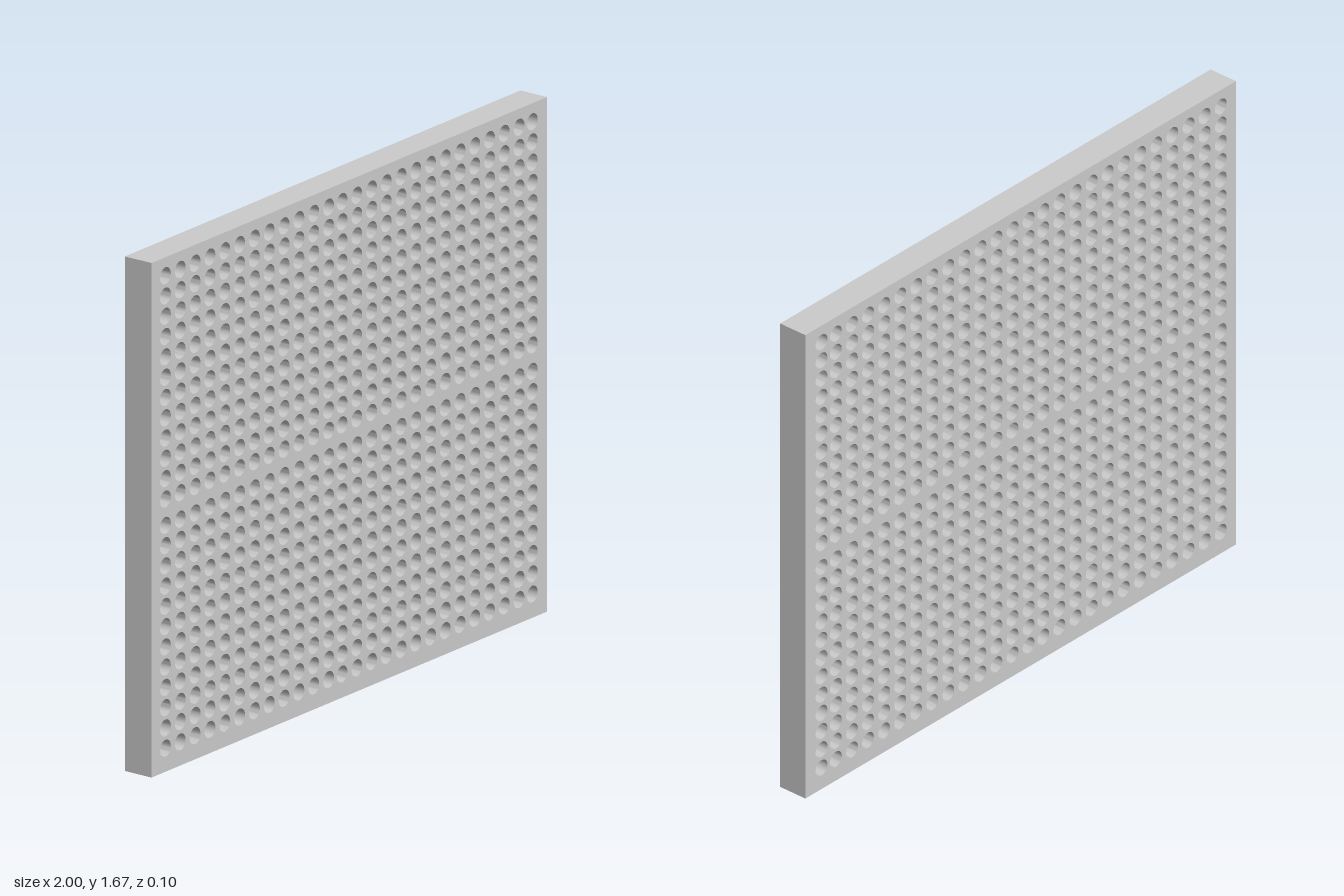
import * as THREE from 'three';
import { toCreasedNormals } from 'three/addons/utils/BufferGeometryUtils.js';

const WIDTH = 2, HEIGHT = 1.675, DEPTH = 0.104, HOLE_RADIUS = 0.0275;

// Evenly spaced values from start to end
function spaced(start, end, count) {
  return Array.from({ length: count }, (_, i) => start + (end - start) * i / (count - 1));
}

export function createModel() {
  const group = new THREE.Group();
  group.name = 'perforatedPanel';

  // Rectangular outline
  const outline = new THREE.Shape();
  outline.moveTo(-WIDTH / 2, 0);
  outline.lineTo(WIDTH / 2, 0);
  outline.lineTo(WIDTH / 2, HEIGHT);
  outline.lineTo(-WIDTH / 2, HEIGHT);
  outline.closePath();

  // Hole grid: two banks of twelve rows with a wider strip between them
  const columns = [...spaced(-0.93, -0.105, 12), ...spaced(-0.037, 0.858, 13), 0.925];
  const rows = [...spaced(0.077, 0.802, 12), ...spaced(0.888, 1.615, 12)];
  for (const y of rows) {
    for (const x of columns) {
      const hole = new THREE.Path();
      hole.absarc(x, y, HOLE_RADIUS, 0, Math.PI * 2, true);
      outline.holes.push(hole);
    }
  }

  // Panel pierced right through, with smooth hole walls and sharp rims
  let geometry = new THREE.ExtrudeGeometry(outline, {
    depth: DEPTH, bevelEnabled: false, curveSegments: 12,
  });
  geometry.translate(0, 0, -DEPTH / 2);
  geometry = toCreasedNormals(geometry, 0.6);

  const panel = new THREE.Mesh(geometry, new THREE.MeshStandardMaterial({ color: 0xcccccc }));
  panel.name = 'panel';
  group.add(panel);
  return group;
}
